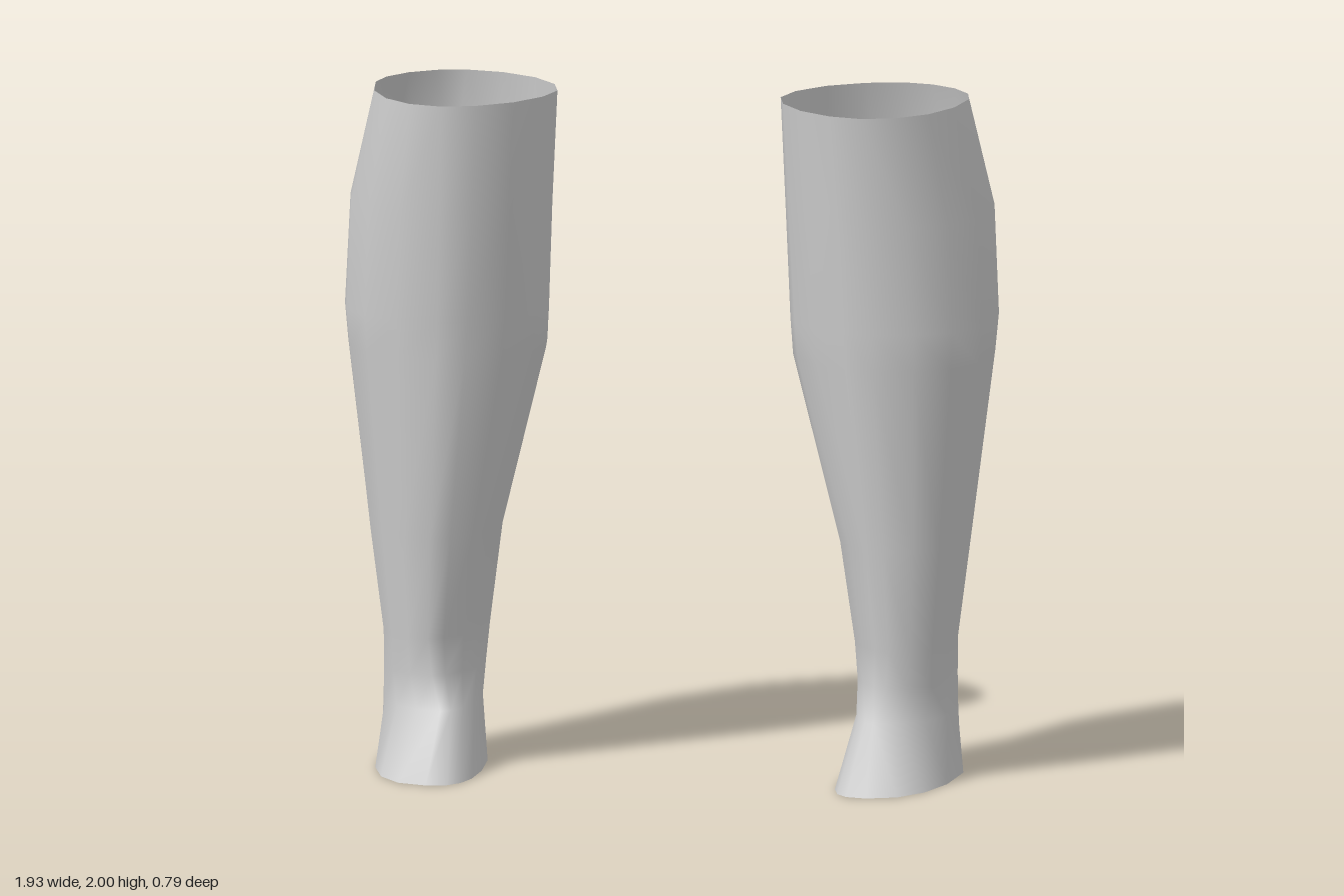
import * as THREE from 'three';

// Cross-sections from the knee down to the sole, for the left leg:
// [height, outer x, its z, front z, its x, inner x, its z, back z, its x],
// then the squareness of the outer front, inner front, inner back and outer back
// quarters (2 is an ellipse, less is closer to a diamond)
const RINGS = [
  [[2.0, 0.877, -0.08, 0.30, 0.62, 0.33, -0.02, -0.32, 0.65], [2, 1.75, 1.85, 1.9]],
  [[1.67, 0.95, -0.07, 0.275, 0.63, 0.345, -0.02, -0.395, 0.70], [2, 1.7, 2, 2.1]],
  [[1.35, 0.963, -0.05, 0.253, 0.64, 0.357, -0.03, -0.357, 0.69], [2, 1.6, 2.25, 2.5]],
  [[1.24, 0.953, -0.05, 0.244, 0.645, 0.365, -0.03, -0.344, 0.69], [2, 1.55, 2.45, 2.45]],
  [[0.7, 0.887, -0.04, 0.198, 0.67, 0.5, -0.05, -0.288, 0.68], [2, 1.75, 2.15, 2.2]],
  [[0.4, 0.847, -0.05, 0.174, 0.68, 0.541, -0.07, -0.274, 0.67], [2, 1.65, 2, 2.1]],
  [[0.29, 0.847, -0.05, 0.166, 0.67, 0.552, -0.06, -0.268, 0.67], [2, 1.65, 2, 2.05]],
  [[0.19, 0.849, -0.05, 0.195, 0.64, 0.558, -0.03, -0.265, 0.68], [1.8, 1.8, 2, 2]],
  [[0.005, 0.86, -0.08, 0.393, 0.65, 0.53, 0.12, -0.295, 0.70], [2.2, 2.8, 2.2, 1.5]],
];
const QUARTER = 4; // segments per quarter of a ring
const SIDES = QUARTER * 4;

// Each ring is four rounded quarters joining its outer, front, inner and back points
function ringPoints([[y, outX, outZ, frontZ, frontX, inX, inZ, backZ, backX], squareness], side) {
  const ends = [[outX, outZ], [frontX, frontZ], [inX, inZ], [backX, backZ]];
  const points = [];
  for (let q = 0; q < 4; q++) {
    const [sidePt, tipPt] = q % 2 ? [ends[(q + 1) % 4], ends[q]] : [ends[q], ends[q + 1]];
    const power = 2 / squareness[q];
    for (let s = 0; s < QUARTER; s++) {
      const t = (s / QUARTER) * Math.PI / 2;
      const leaving = Math.cos(t) ** power;
      const arriving = Math.sin(t) ** power;
      const [along, across] = q % 2 ? [arriving, leaving] : [leaving, arriving];
      points.push(
        side * (tipPt[0] + (sidePt[0] - tipPt[0]) * along),
        y,
        sidePt[1] + (tipPt[1] - sidePt[1]) * across,
      );
    }
  }
  return points;
}

// Open smooth sleeve; side is 1 for left, -1 for right
function legGeometry(side) {
  const index = [];
  for (let i = 0; i < RINGS.length - 1; i++) {
    for (let j = 0; j < SIDES; j++) {
      const a = i * SIDES + j;
      const b = i * SIDES + (j + 1) % SIDES;
      const c = a + SIDES;
      const d = b + SIDES;
      if (side > 0) index.push(a, b, c, b, d, c);
      else index.push(a, c, b, b, c, d);
    }
  }
  const geometry = new THREE.BufferGeometry();
  const positions = RINGS.flatMap((ring) => ringPoints(ring, side));
  geometry.setAttribute('position', new THREE.Float32BufferAttribute(positions, 3));
  geometry.setIndex(index);
  geometry.computeVertexNormals();
  return geometry;
}

export function createModel() {
  const group = new THREE.Group();
  group.name = 'lowerLegs';
  const material = new THREE.MeshStandardMaterial({ color: 0xcccccc, side: THREE.DoubleSide });
  material.name = 'light grey';

  for (const [name, side] of [['leftLeg', 1], ['rightLeg', -1]]) {
    const leg = new THREE.Mesh(legGeometry(side), material);
    leg.name = name;
    group.add(leg);
  }
  return group;
}
